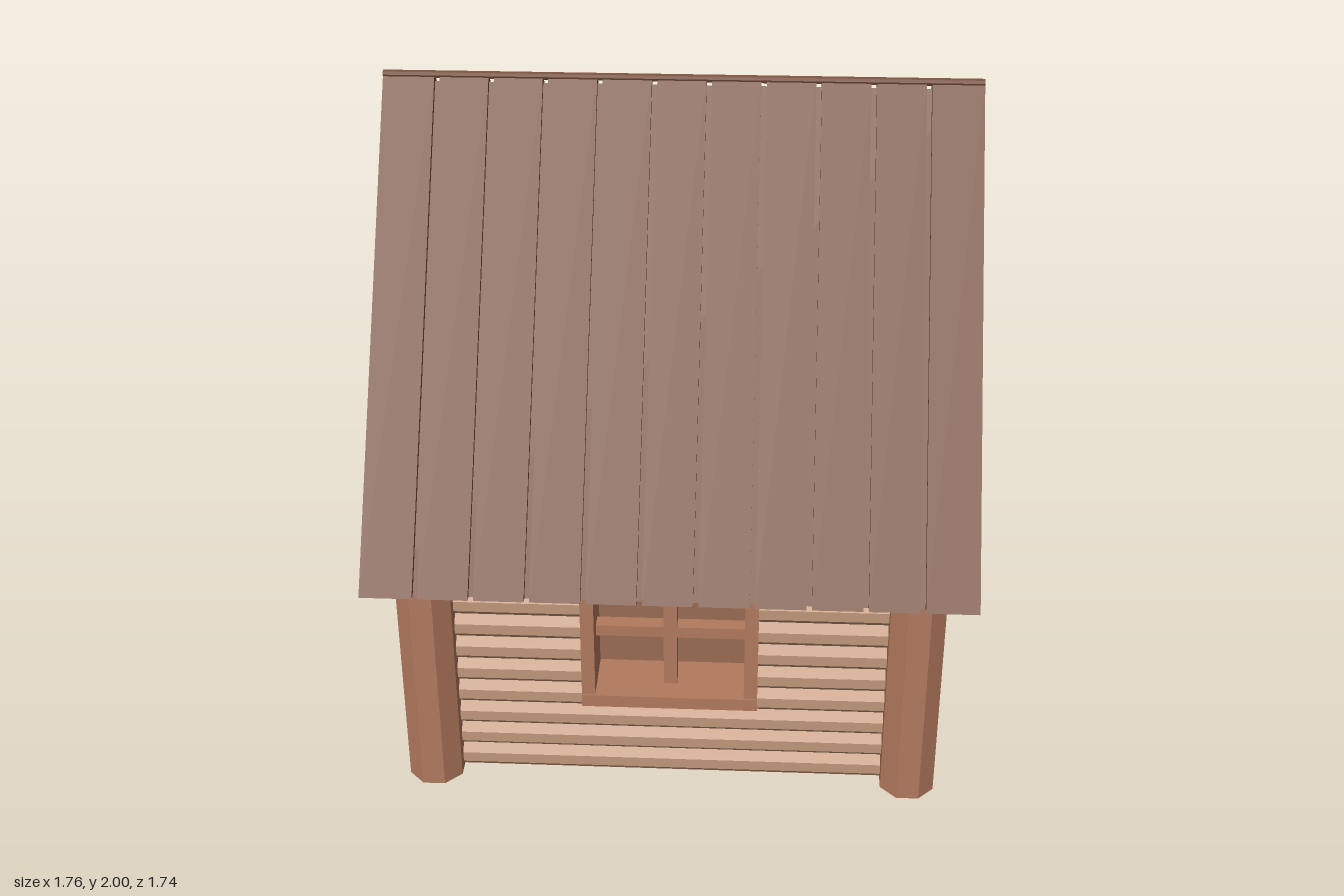
import * as THREE from 'three';
import { mergeGeometries } from 'three/addons/utils/BufferGeometryUtils.js';

const mat = (color) => new THREE.MeshStandardMaterial({ color, flatShading: true });
const LOG = mat(0xc0977a), TRIM = mat(0xb27a5e), ROOF = mat(0x784f3b), FLOOR = mat(0x8a6049);
const DOOR = mat(0xd8b694), METAL = mat(0x9a9ca2);

const PITCH = 1.468, UNDER = 1.84, WALL = 0.68, POST = 0.72, STEP = 0.08;
const OCT = Math.cos(Math.PI / 8);
const underside = (z) => UNDER - PITCH * Math.abs(z);

function add(parent, name, geometry, material, x = 0, y = 0, z = 0) {
  const mesh = new THREE.Mesh(geometry, material);
  mesh.name = name;
  mesh.position.set(x, y, z);
  parent.add(mesh);
  return mesh;
}
const bar = (parent, name, w, h, d, x, y, z) =>
  add(parent, name, new THREE.BoxGeometry(w, h, d), TRIM, x, y, z);

// Eight-sided log along x whose ends follow from(y) and to(y)
function log(cy, from, to) {
  const r = STEP / 2 / OCT;
  const g = new THREE.CylinderGeometry(r, r, 1, 8, 1, false, Math.PI / 8);
  g.rotateZ(Math.PI / 2).translate(0, cy, 0);
  const p = g.attributes.position;
  for (let i = 0; i < p.count; i++) p.setX(i, p.getX(i) < 0 ? from(p.getY(i)) : to(p.getY(i)));
  return g;
}

// Stack of logs, split where hole(y, logCentre) is wider than zero
function logWall(parent, count, half, hole) {
  const parts = [];
  for (let i = 0; i < count; i++) {
    const cy = (i + 0.5) * STEP;
    const open = [-0.037, 0, 0.037].some((d) => hole(cy + d, cy) > 0);
    if (open) {
      parts.push(log(cy, (y) => -half(y), (y) => -hole(y, cy)));
      parts.push(log(cy, (y) => hole(y, cy), half));
    } else parts.push(log(cy, (y) => -half(y), half));
  }
  add(parent, 'logs', mergeGeometries(parts), LOG);
}

// Group facing outward on one side of the house
function side(root, name, angle) {
  const g = new THREE.Group();
  g.name = name;
  g.rotation.y = angle;
  g.position.set(Math.sin(angle) * WALL, 0, Math.cos(angle) * WALL);
  root.add(g);
  return g;
}

function octagon(apothem, Type) {
  const pts = [];
  for (let i = 0; i < 8; i++) {
    const a = (i + 0.5) * Math.PI / 4;
    pts.push(new THREE.Vector2(Math.cos(a), Math.sin(a)).multiplyScalar(apothem / OCT));
  }
  return new Type(pts);
}

const rect = (Type, x0, y0, x1, y1) => new Type([
  new THREE.Vector2(x0, y0), new THREE.Vector2(x1, y0),
  new THREE.Vector2(x1, y1), new THREE.Vector2(x0, y1)]);

function longWall(root, name, angle) {
  const g = side(root, name, angle);
  logWall(g, 11, () => WALL, (y, cy) => (cy > 0.32 && cy < 0.72 ? 0.24 : 0));
  // Deep four-pane window
  const w = new THREE.Group();
  w.name = 'window';
  g.add(w);
  for (const s of [-1, 1]) bar(w, 'windowJamb', 0.04, 0.40, 0.17, s * 0.24, 0.52, 0.015);
  bar(w, 'windowSill', 0.52, 0.04, 0.18, 0, 0.32, 0.015);
  bar(w, 'windowHead', 0.52, 0.036, 0.17, 0, 0.723, 0.015);
  bar(w, 'mullion', 0.04, 0.37, 0.05, 0, 0.525, 0.01);
  bar(w, 'crossBar', 0.44, 0.036, 0.045, 0, 0.524, 0.01);
}

function gable(root, name, angle, hasDoor) {
  const g = side(root, name, angle);
  const half = (y) => Math.min(WALL, (UNDER - y) / PITCH + 0.03);
  const roundY = 1.2;
  const hole = (y, cy) => {
    if (!hasDoor) return 0;
    if (cy < 0.72) return 0.2;
    const d = Math.abs(y - roundY), a = 0.172;
    return d < a ? Math.min(a, a * Math.SQRT2 - d) : 0;
  };
  logWall(g, 23, half, hole);
  if (!hasDoor) return;

  // Eight-sided gable window
  const ring = octagon(0.2, THREE.Shape);
  ring.holes.push(octagon(0.163, THREE.Path));
  add(g, 'gableWindowFrame', new THREE.ExtrudeGeometry(ring, { depth: 0.135, bevelEnabled: false }),
    TRIM, 0, roundY, -0.075);
  bar(g, 'gableMullion', 0.04, 0.34, 0.05, 0, roundY, 0);
  bar(g, 'gableCrossBar', 0.34, 0.036, 0.045, 0, roundY, 0);

  // Door frame, recessed door with four openings, knob
  for (const s of [-1, 1]) bar(g, 'doorJamb', 0.036, 0.74, 0.14, s * 0.2, 0.37, -0.01);
  bar(g, 'doorHead', 0.364, 0.036, 0.14, 0, 0.722, -0.01);
  const panel = rect(THREE.Shape, -0.182, 0.003, 0.182, 0.705);
  for (const x of [-0.145, 0.022])
    for (const y of [0.42, 0.56]) panel.holes.push(rect(THREE.Path, x, y, x + 0.123, y + 0.1));
  add(g, 'door', new THREE.ExtrudeGeometry(panel, { depth: 0.045, bevelEnabled: false }),
    DOOR, 0, 0, -0.05);
  const knob = add(g, 'doorKnob', new THREE.CylinderGeometry(0.029, 0.029, 0.04, 10), METAL, 0.11, 0.3, 0.012);
  knob.rotation.x = Math.PI / 2;
}

// Roof section over one slope, sunk by drop below the plank tops, from x0 to x1
function roofPiece(parent, name, drop, x0, x1) {
  const shape = new THREE.Shape([[0, UNDER], [0.76, 0.725], [0.868 - drop / PITCH, 0.725], [0, 1.997 - drop]]
    .map(([z, y]) => new THREE.Vector2(z, y)));
  add(parent, name, new THREE.ExtrudeGeometry(shape, { depth: x1 - x0, bevelEnabled: false }),
    ROOF, 0, 0, x0);
}

export function createModel() {
  const root = new THREE.Group();
  root.name = 'logCabin';

  add(root, 'floor', new THREE.BoxGeometry(1.4, 0.03, 1.4), FLOOR, 0, 0.016, 0);

  longWall(root, 'frontWall', 0);
  longWall(root, 'backWall', Math.PI);
  gable(root, 'doorGable', Math.PI / 2, true);
  gable(root, 'plainGable', -Math.PI / 2, false);

  // Corner posts, tops cut to the roof slope
  for (const x of [-POST, POST]) for (const z of [-POST, POST]) {
    const r = 0.08 / OCT;
    const g = new THREE.CylinderGeometry(r, r, 1, 8, 1, false, Math.PI / 8).translate(x, 0.5, z);
    const p = g.attributes.position;
    for (let i = 0; i < p.count; i++)
      if (p.getY(i) > 0.5) p.setY(i, underside(p.getZ(i)) + 0.05);
    add(root, 'cornerPost', g, TRIM);
  }

  // Roof: grooved planks over a solid slab, mirrored over the ridge
  for (const s of [-1, 1]) {
    const slope = new THREE.Group();
    slope.name = s > 0 ? 'frontRoof' : 'backRoof';
    slope.rotation.y = -s * Math.PI / 2;
    root.add(slope);
    roofPiece(slope, 'roofSlab', 0.03, -0.879, 0.879);
    for (let i = 0; i < 11; i++) {
      const x = -0.88 + i * 0.16;
      roofPiece(slope, 'roofPlank', 0, x + (i > 0 ? 0.008 : 0), x + (i < 10 ? 0.152 : 0.16));
    }
  }
  const ridge = add(root, 'ridgePole', new THREE.CylinderGeometry(0.012, 0.012, 1.76, 8), ROOF, 0, 1.988, 0);
  ridge.rotation.z = Math.PI / 2;

  return root;
}
